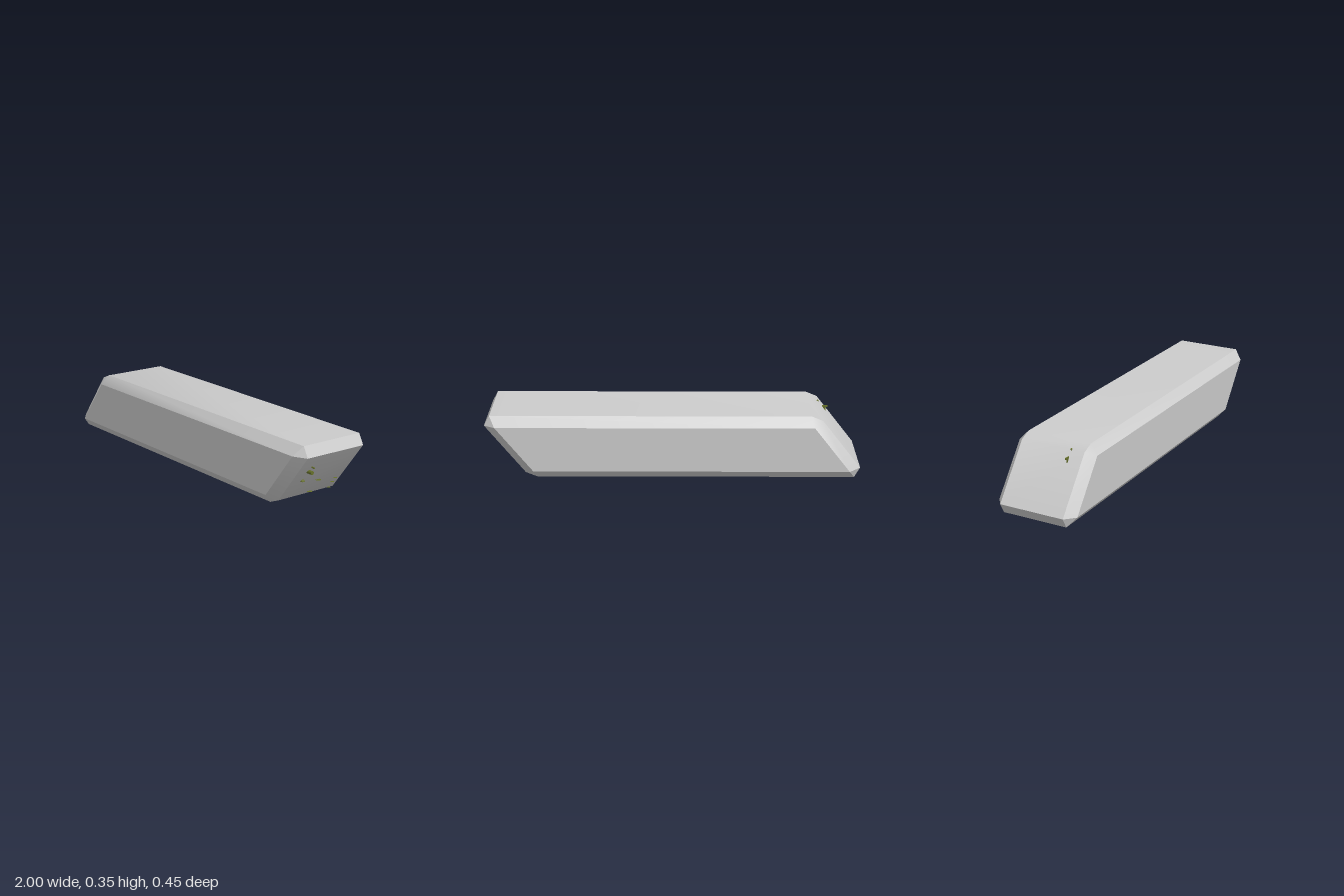
import * as THREE from 'three';
import { toCreasedNormals } from 'three/addons/utils/BufferGeometryUtils.js';

const grey = new THREE.MeshStandardMaterial({ color: 0xcccccc });
const olive = new THREE.MeshStandardMaterial({ color: 0x66702a, side: THREE.DoubleSide });

// Slanted profile, anticlockwise, and the smaller parallelogram of the side panels
const rim = [[-0.97, 0], [0.73, 0], [0.79, 0.025], [1, 0.295], [0.97, 0.35], [-0.73, 0.35], [-0.79, 0.325], [-1, 0.055]];
const panel = [[-0.94, 0.05], [0.745, 0.05], [0.94, 0.3], [-0.745, 0.3]];
const panelLoop = [0, 1, 1, 2, 2, 3, 3, 0].map((i) => panel[i]);

function bodyGeometry() {
  const loops = [[panelLoop, 0.225], [rim, 0.18], [rim, -0.18], [panelLoop, -0.225]]
    .map(([pts, z]) => pts.map(([x, y]) => new THREE.Vector3(x, y, z)));
  const out = [];
  const tri = (a, b, c) => {
    if (a.equals(b) || b.equals(c) || c.equals(a)) return;
    for (const v of [a, b, c]) out.push(v.x, v.y, v.z);
  };
  // bevels and the long faces
  for (let k = 0; k < 3; k++) {
    const F = loops[k], B = loops[k + 1];
    for (let i = 0; i < 8; i++) {
      const j = (i + 1) % 8;
      tri(F[i], B[i], B[j]);
      tri(F[i], B[j], F[j]);
    }
  }
  // flat front and back panels
  const F = loops[0], B = loops[3];
  tri(F[0], F[1], F[3]);
  tri(F[0], F[3], F[5]);
  tri(B[0], B[3], B[1]);
  tri(B[0], B[5], B[3]);
  const g = new THREE.BufferGeometry();
  g.setAttribute('position', new THREE.Float32BufferAttribute(out, 3));
  return toCreasedNormals(g, 0.6);
}

export function createModel() {
  const group = new THREE.Group();
  const add = (name, geometry, material, x = 0, y = 0, z = 0) => {
    const mesh = new THREE.Mesh(geometry, material);
    mesh.name = name;
    mesh.position.set(x, y, z);
    group.add(mesh);
    return mesh;
  };
  // x of the overhanging end face at height y
  const endX = (y) => 0.79 + (y - 0.025) * 0.778;

  add('body', bodyGeometry(), grey);

  // small studs standing out of the overhanging end
  for (const [r, len, y] of [[0.01, 0.036, 0.195], [0.004, 0.02, 0.224]]) {
    add('endStud', new THREE.CylinderGeometry(r, r, len, 8), olive, endX(y) + 0.012, y, 0.105).rotation.z = Math.PI / 2;
  }
  add('endDome', new THREE.SphereGeometry(0.011, 8, 4, 0, Math.PI * 2, 0, Math.PI / 2), olive, endX(0.133) + 0.008, 0.133, 0.105);

  // thin level discs on the overhanging end: radius, y, z
  for (const [r, y, z] of [[0.016, 0.115, -0.01], [0.016, 0.037, -0.01], [0.01, 0.095, -0.14], [0.01, 0.068, -0.14], [0.01, 0.028, -0.145]]) {
    add('endDisc', new THREE.CircleGeometry(r, 8), olive, endX(y) + 0.006, y, z).rotation.x = Math.PI / 2;
  }

  // small upright pieces on the sloping end
  add('slopePlate', new THREE.BoxGeometry(0.03, 0.008, 0.006), olive, -0.83, 0.295, 0.105);
  add('slopeStem', new THREE.BoxGeometry(0.012, 0.03, 0.006), olive, -0.827, 0.28, 0.105);
  add('slopeDot', new THREE.SphereGeometry(0.006, 8, 6), olive, -0.788, 0.326, 0.105);

  return group;
}
